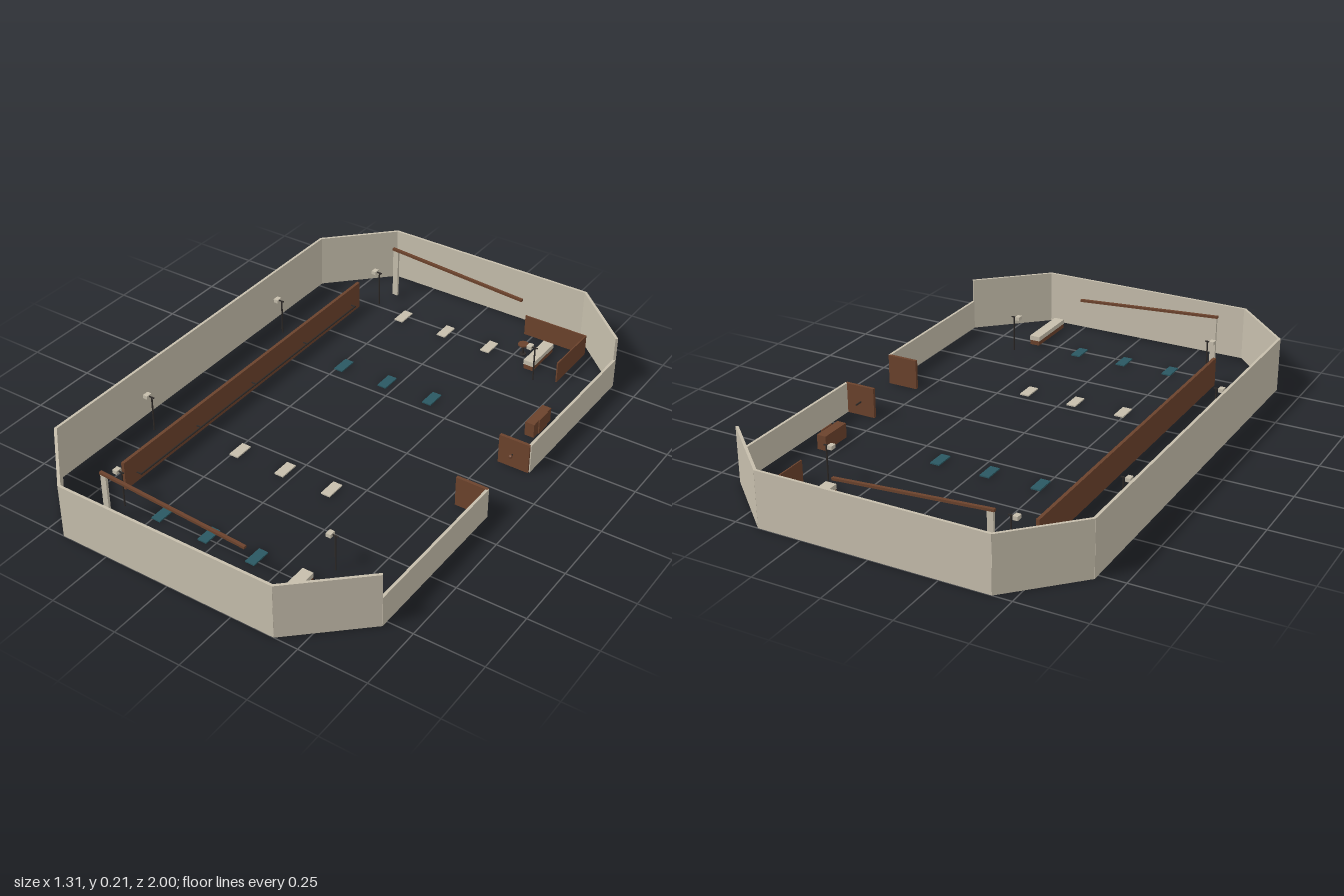
import * as THREE from 'three';

export function createModel() {
  const root = new THREE.Group();
  root.name = 'walledHall';
  const mat = (name, color) => {
    const m = new THREE.MeshStandardMaterial({ color });
    m.name = name;
    return m;
  };
  const stone = mat('stone', 0xc6beac);
  const wood = mat('wood', 0x6b422c);
  const teal = mat('teal', 0x2a5862);
  const iron = mat('iron', 0x2e2a28);

  const add = (name, geometry, material, x, y, z, parent = root) => {
    const mesh = new THREE.Mesh(geometry, material);
    mesh.name = name;
    mesh.position.set(x, y, z);
    parent.add(mesh);
    return mesh;
  };
  // box standing on height y
  const box = (name, material, w, h, d, x, y, z, parent) =>
    add(name, new THREE.BoxGeometry(w, h, d), material, x, y + h / 2, z, parent);
  const rod = (name, material, r, h, x, y, z, parent, sides = 8) =>
    add(name, new THREE.CylinderGeometry(r, r, h, sides), material, x, y + h / 2, z, parent);

  // Perimeter: full-height walls, with lower walls beside the entrance
  const high = 0.205, low = 0.114, thick = 0.01;
  const wall = (name, x1, z1, x2, z2, h) => {
    const length = Math.hypot(x2 - x1, z2 - z1) + 0.003;
    const m = box(name, stone, length, h, thick, (x1 + x2) / 2, 0, (z1 + z2) / 2);
    m.rotation.y = -Math.atan2(z2 - z1, x2 - x1);
  };
  const outline = [[0.65, 0.772], [0.41, 0.995], [-0.43, 0.995], [-0.65, 0.772],
    [-0.65, -0.772], [-0.43, -0.995], [0.41, -0.995], [0.65, -0.772]];
  for (let i = 0; i < outline.length - 1; i++)
    wall('outerWall', ...outline[i], ...outline[i + 1], high);
  for (const s of [-1, 1]) {
    wall('lowWall', 0.65, s * 0.772, 0.65, s * 0.145, low);
    box('entrancePanel', wood, 0.118, low, 0.012, 0.592, 0, s * 0.143);
  }

  // Handle through one entrance panel
  const handle = rod('panelHandle', iron, 0.003, 0.06, 0.588, 0.022, -0.15);
  handle.rotation.x = Math.PI / 2;
  add('handleKnob', new THREE.SphereGeometry(0.007, 10, 8), wood, 0.588, 0.052, -0.124);

  // Long partition with a rail on brackets
  box('longPartition', wood, 0.012, 0.11, 1.41, -0.428, 0, -0.003);
  const rail = rod('rail', iron, 0.003, 1.29, -0.403, 0.037 - 0.645, -0.003);
  rail.rotation.x = Math.PI / 2;
  for (let i = -2; i <= 2; i++)
    box('railBracket', iron, 0.024, 0.004, 0.004, -0.413, 0.035, -0.003 + i * 0.3225);

  // Sloping barrier beams on tall posts
  for (const z of [-0.867, 0.867]) {
    box('barrierPost', stone, 0.022, 0.198, 0.01, -0.355, 0, z);
    const beam = box('barrierBeam', wood, 0.582, 0.009, 0.012, -0.079, 0.18, z);
    beam.rotation.z = -0.065;
  }

  // Floor mats in alternating rows
  for (const [z, m] of [[-0.74, stone], [-0.325, teal], [0.315, stone], [0.735, teal]])
    for (const x of [-0.236, -0.043, 0.15])
      box('floorMat', m, 0.036, 0.005, 0.075, x, 0, z);

  // Benches
  for (const [z, length] of [[-0.77, 0.158], [0.833, 0.215]]) {
    box('benchBase', wood, 0.038, 0.018, length, 0.345, 0, z);
    box('benchSeat', stone, 0.042, 0.018, length, 0.345, 0.018, z);
  }

  // Cabinet beside the entrance
  box('cabinet', wood, 0.036, 0.055, 0.125, 0.551, 0, -0.388);
  box('cabinetBack', wood, 0.005, 0.058, 0.06, 0.571, 0, -0.388);

  // Round table
  rod('tableFoot', iron, 0.013, 0.004, 0.278, 0, -0.772, root, 20);
  rod('tableStem', iron, 0.004, 0.045, 0.278, 0, -0.772);
  rod('tableTop', wood, 0.02, 0.005, 0.278, 0.042, -0.772, root, 24);

  // Corner screen
  box('screenBack', wood, 0.258, 0.083, 0.005, 0.343, 0, -0.901);
  box('screenSide', wood, 0.005, 0.083, 0.225, 0.47, 0, -0.79);

  // Lamp posts, heads turned toward the right side
  for (const [x, z] of [[-0.563, 0.385], [-0.37, 0.77], [0.392, 0.642]])
    for (const s of [-1, 1]) {
      const lamp = new THREE.Group();
      lamp.name = 'lamp';
      lamp.position.set(x, 0, s * z);
      root.add(lamp);
      rod('lampPost', iron, 0.003, 0.142, 0, 0, 0, lamp);
      box('lampArm', iron, 0.034, 0.004, 0.004, -0.007, 0.138, 0, lamp);
      box('lampHead', stone, 0.018, 0.014, 0.024, -0.02, 0.132, 0, lamp);
    }
  return root;
}
